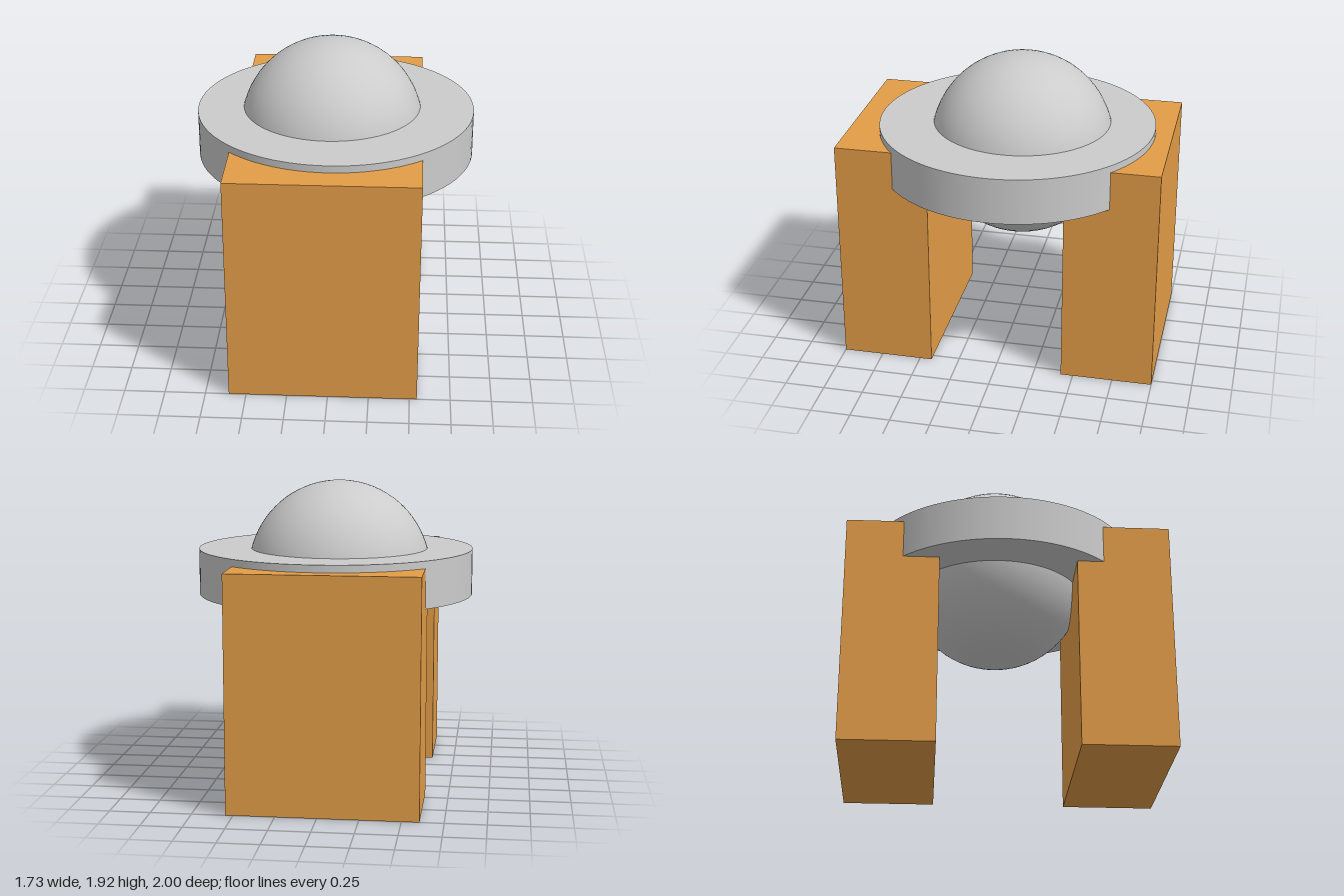
import * as THREE from 'three';

export function createModel() {
  const model = new THREE.Group();
  const orange = new THREE.MeshStandardMaterial({ color: 0xe39d48 });
  const grey = new THREE.MeshStandardMaterial({ color: 0xcccccc });

  const add = (name, geometry, material, x, y, z) => {
    const mesh = new THREE.Mesh(geometry, material);
    mesh.name = name;
    mesh.position.set(x, y, z);
    model.add(mesh);
  };

  // Two upright blocks, front and back
  const height = 1.445, depth = 0.577;
  for (const [name, side] of [['frontBlock', 1], ['backBlock', -1]]) {
    add(name, new THREE.BoxGeometry(1.152, height, depth), orange,
      -0.03, height / 2, side * (1 - depth / 2));
  }

  // Round slab sunk into the tops of the blocks
  add('disc', new THREE.CylinderGeometry(0.865, 0.865, 0.288, 96), grey, 0, 1.346, -0.03);

  // Ball passing through the slab
  add('ball', new THREE.SphereGeometry(0.576, 64, 40), grey, -0.025, 1.34, -0.055);

  return model;
}
